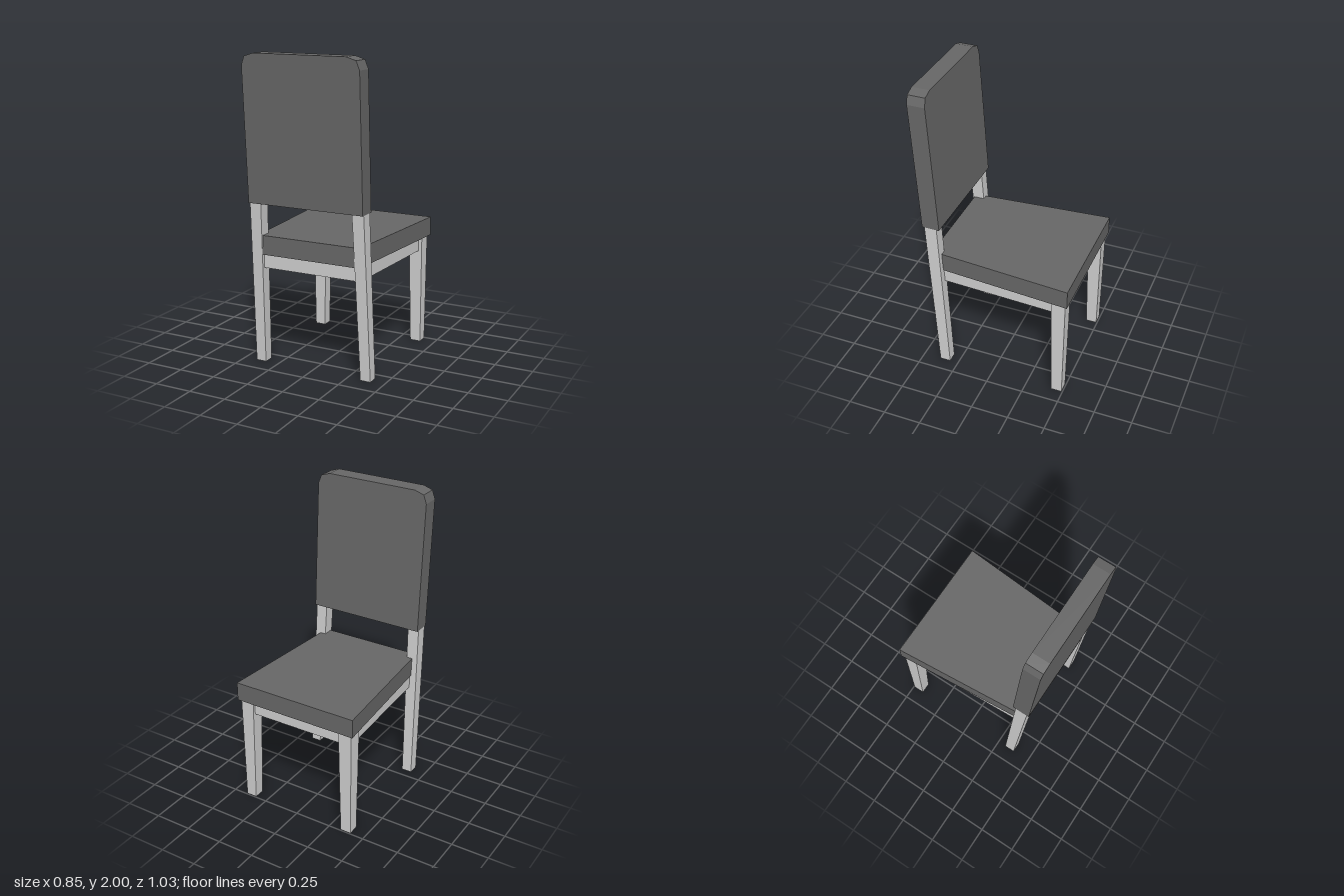
import * as THREE from 'three';

const lerp = THREE.MathUtils.lerp;

// Box between two rectangles [x0, x1, z0, z1] at heights y0 and y1
function taperedPost(y0, low, y1, high) {
  return warpBox((u, v, w) => [
    lerp(lerp(low[0], low[1], u), lerp(high[0], high[1], u), v),
    lerp(y0, y1, v),
    lerp(lerp(low[2], low[3], w), lerp(high[2], high[3], w), v),
  ]);
}

// Slab whose x range [x0, x1] changes from its front edge to its rear edge
function taperedSlab(y0, y1, z0, front, z1, rear) {
  return warpBox((u, v, w) => [
    lerp(lerp(front[0], front[1], u), lerp(rear[0], rear[1], u), w),
    lerp(y0, y1, v),
    lerp(z0, z1, w),
  ]);
}

// Unit box with each corner moved by a rule of (u, v, w) in 0..1
function warpBox(rule) {
  const geo = new THREE.BoxGeometry(1, 1, 1);
  const p = geo.attributes.position;
  for (let i = 0; i < p.count; i++) {
    p.setXYZ(i, ...rule(p.getX(i) + 0.5, p.getY(i) + 0.5, p.getZ(i) + 0.5));
  }
  geo.computeVertexNormals();
  return geo;
}

// An x range placed on the left (s = 1) or mirrored to the right (s = -1)
const side = (s, inner, outer) => (s > 0 ? [inner, outer] : [-outer, -inner]);

export function createModel() {
  const chair = new THREE.Group();
  chair.name = 'chair';
  const upholstery = new THREE.MeshStandardMaterial({ color: 0x666666 });
  upholstery.name = 'dark grey upholstery';
  const frame = new THREE.MeshStandardMaterial({ color: 0xcccccc });
  frame.name = 'light grey frame';

  const add = (name, geo, mat) => {
    const mesh = new THREE.Mesh(geo, mat);
    mesh.name = name;
    chair.add(mesh);
  };

  // Seat, narrowing toward the backrest
  add('seat', taperedSlab(0.735, 0.86, -0.515, [-0.427, 0.427], 0.425, [-0.354, 0.354]), upholstery);

  // Backrest panel with clipped upper corners, leaning backward
  const outline = [
    [-0.394, 1.07], [0.394, 1.07], [0.394, 1.925], [0.373, 1.98], [0.31, 2],
    [-0.31, 2], [-0.373, 1.98], [-0.394, 1.925],
  ].map(([x, y]) => new THREE.Vector2(x, y));
  const back = new THREE.ExtrudeGeometry(new THREE.Shape(outline), { depth: 0.116, bevelEnabled: false });
  const p = back.attributes.position;
  for (let i = 0; i < p.count; i++) p.setZ(i, p.getZ(i) + 0.349 + 0.059 * (p.getY(i) - 1.07));
  back.computeVertexNormals();
  add('backrest', back, upholstery);

  for (const s of [1, -1]) {
    const label = s > 0 ? 'left' : 'right';

    // Front leg, tapering downward
    add(label + 'FrontLeg', taperedPost(
      0, [...side(s, 0.333, 0.405), -0.493, -0.42],
      0.74, [...side(s, 0.318, 0.41), -0.499, -0.406]), frame);

    // Rear leg, splayed and running up into the backrest
    add(label + 'RearLeg', taperedPost(
      0, [...side(s, 0.341, 0.41), 0.308, 0.379],
      1.09, [...side(s, 0.315, 0.393), 0.369, 0.452]), frame);

    // Side rail
    add(label + 'SideRail', taperedSlab(
      0.645, 0.737, -0.45, side(s, 0.345, 0.39), 0.39, side(s, 0.305, 0.35)), frame);
  }

  // Front and rear rails
  add('frontRail', taperedSlab(0.645, 0.737, -0.48, [-0.36, 0.36], -0.435, [-0.36, 0.36]), frame);
  add('rearRail', taperedSlab(0.645, 0.737, 0.36, [-0.34, 0.34], 0.405, [-0.34, 0.34]), frame);

  return chair;
}
